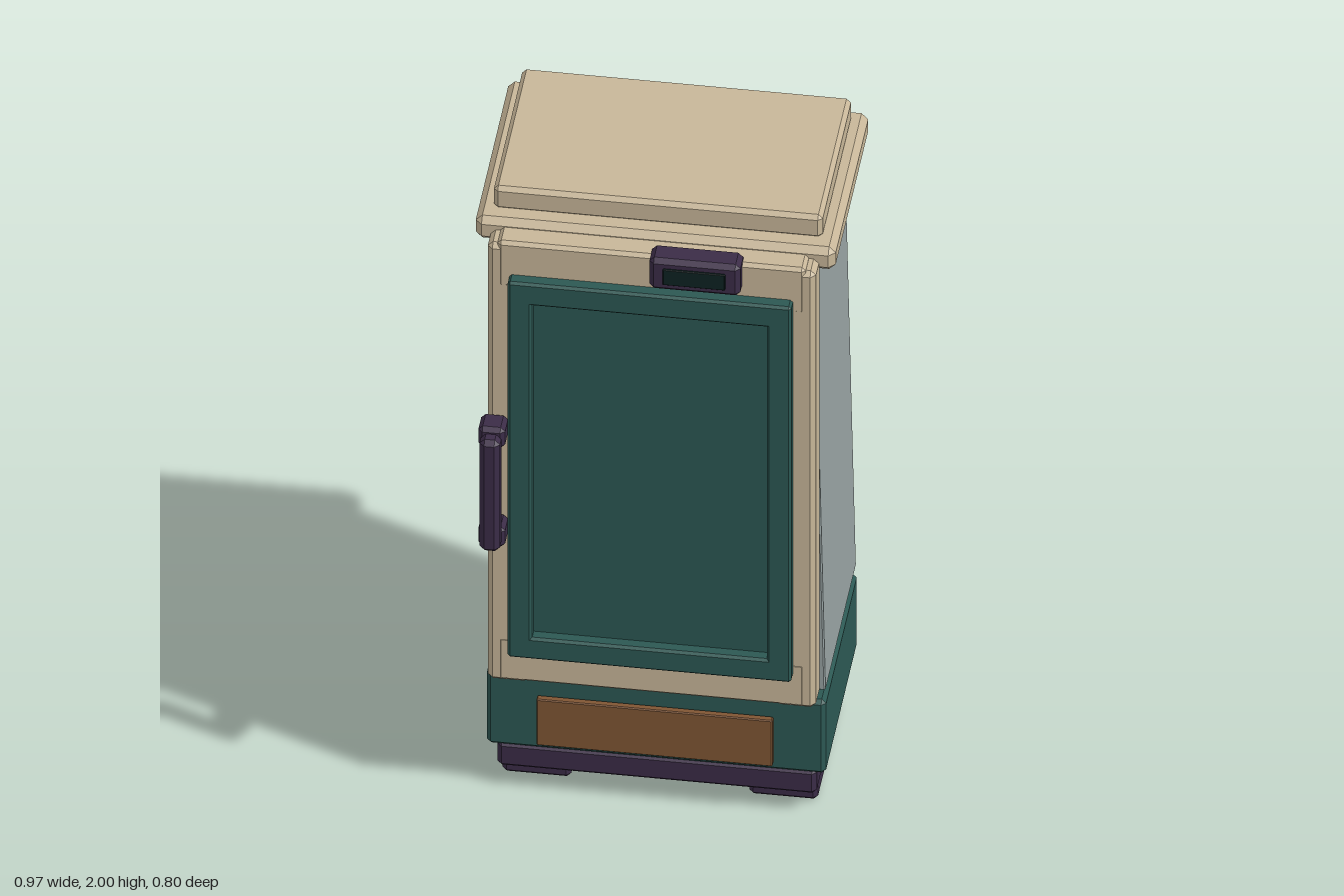
import * as THREE from 'three';
import { ConvexGeometry } from 'three/addons/geometries/ConvexGeometry.js';

const mat = (name, color) => {
  const m = new THREE.MeshStandardMaterial({ color });
  m.name = name;
  return m;
};

// Box with every edge cut at 45 degrees, given as [min, max] per axis
function chamferBox([x0, x1], [y0, y1], [z0, z1], c) {
  const h = [(x1 - x0) / 2, (y1 - y0) / 2, (z1 - z0) / 2];
  const points = [];
  for (const sx of [-1, 1]) for (const sy of [-1, 1]) for (const sz of [-1, 1]) {
    for (let axis = 0; axis < 3; axis++) {
      const p = h.map((v, i) => (i === axis ? v : v - c));
      points.push(new THREE.Vector3(sx * p[0], sy * p[1], sz * p[2]));
    }
  }
  const g = new ConvexGeometry(points);
  g.translate((x0 + x1) / 2, (y0 + y1) / 2, (z0 + z1) / 2);
  return g;
}

export function createModel() {
  const cream = mat('cream enamel', 0xc8b799);
  const teal = mat('teal enamel', 0x2c5853);
  const grey = mat('grey side metal', 0x97a2a2);
  const dark = mat('dark lining', 0x0d2222);
  const plum = mat('plum trim', 0x3b2c47);
  const brown = mat('brown plate', 0x805634);

  const model = new THREE.Group();
  const part = (name, material, x, y, z, c = 0.01, parent = model) => {
    const mesh = new THREE.Mesh(chamferBox(x, y, z, c), material);
    mesh.name = name;
    parent.add(mesh);
    return mesh;
  };
  const group = (name) => {
    const g = new THREE.Group();
    g.name = name;
    model.add(g);
    return g;
  };
  const span = (side, a, b) => (side > 0 ? [a, b] : [-b, -a]);

  // Base: feet, plinth, drawer block and front plate
  for (const s of [-1, 1]) {
    part(s > 0 ? 'leftFoot' : 'rightFoot', plum, span(s, 0.24, 0.425), [0, 0.07], [-0.31, 0.13], 0.012);
  }
  part('plinth', plum, [-0.43, 0.43], [0.065, 0.147], [-0.368, 0.188], 0.012);
  part('baseBlock', teal, [-0.457, 0.457], [0.145, 0.392], [-0.377, 0.199], 0.012);
  part('basePlate', brown, [-0.318, 0.318], [0.18, 0.335], [0.207, 0.228], 0.003);

  // Cabinet: lining, back and side walls leaning in towards the top
  part('cabinetFloor', dark, [-0.37, 0.37], [0.403, 0.44], [-0.33, 0.18], 0.003);
  part('backPanel', dark, [-0.37, 0.37], [0.42, 1.865], [-0.362, -0.322], 0.003);
  for (const s of [-1, 1]) {
    const wall = part(s > 0 ? 'leftWall' : 'rightWall', grey, span(s, 0.37, 0.455), [0.422, 1.836], [-0.366, 0.188], 0.004);
    const pos = wall.geometry.attributes.position;
    for (let i = 0; i < pos.count; i++) {
      if (Math.abs(pos.getX(i)) > 0.41) {
        pos.setX(i, pos.getX(i) - s * 0.03 * (pos.getY(i) - 0.422) / 1.414);
      }
    }
    wall.geometry.computeVertexNormals();
  }

  // Stepped top
  part('cornice', cream, [-0.485, 0.485], [1.857, 1.932], [-0.403, 0.219], 0.018);
  part('topCap', cream, [-0.443, 0.443], [1.925, 2], [-0.367, 0.165], 0.012);

  // Door: cream frame of stiles and rails
  const door = group('door');
  for (const s of [-1, 1]) {
    part('doorStile', cream, span(s, 0.33, 0.442), [0.428, 1.9], [0.19, 0.284], 0.014, door);
  }
  part('doorTopRail', cream, [-0.415, 0.415], [1.76, 1.912], [0.194, 0.285], 0.01, door);
  part('doorBottomRail', cream, [-0.415, 0.415], [0.434, 0.58], [0.194, 0.285], 0.01, door);

  // Raised teal border around a recessed panel
  for (const s of [-1, 1]) {
    part('panelStile', teal, span(s, 0.316, 0.382), [0.54, 1.806], [0.275, 0.321], 0.007, door);
  }
  part('panelTopRail', teal, [-0.382, 0.382], [1.732, 1.806], [0.275, 0.321], 0.007, door);
  part('panelBottomRail', teal, [-0.382, 0.382], [0.54, 0.612], [0.275, 0.321], 0.007, door);
  part('recessedPanel', teal, [-0.32, 0.32], [0.6, 1.74], [0.25, 0.288], 0.003, door);

  // Handle on the model's right
  const handle = group('handle');
  for (const y of [0.968, 1.302]) {
    part('handleMount', plum, [-0.456, -0.384], [y - 0.034, y + 0.034], [0.284, 0.36], 0.012, handle);
  }
  part('handleBar', plum, [-0.447, -0.392], [0.948, 1.322], [0.349, 0.401], 0.014, handle);

  // Display near the top of the door
  const display = group('display');
  part('displayHousing', plum, [0, 0.245], [1.828, 1.932], [0.25, 0.327], 0.013, display);
  part('displayScreen', dark, [0.038, 0.206], [1.854, 1.906], [0.324, 0.333], 0.002, display);

  return model;
}
